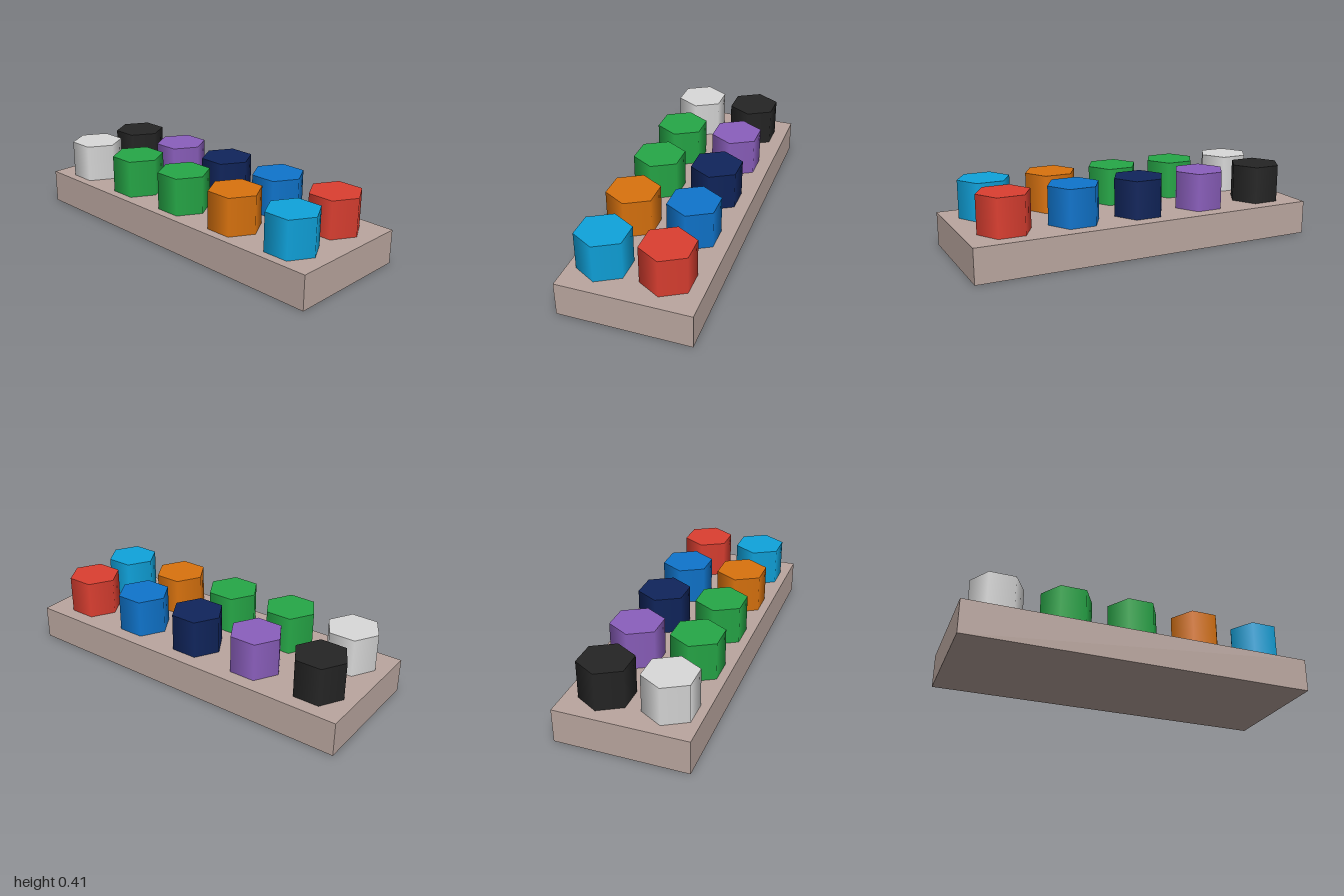
import * as THREE from 'three';

const mat = (name, color) => {
  const m = new THREE.MeshStandardMaterial({ color });
  m.name = name;
  return m;
};

export function createModel() {
  const model = new THREE.Group();
  model.name = 'pegTray';

  const colours = {
    taupe: mat('taupe', 0xbaa69f),
    cyan: mat('cyan', 0x0fa3dc),
    red: mat('red', 0xdc3f31),
    orange: mat('orange', 0xda730e),
    blue: mat('blue', 0x0f75cd),
    green: mat('green', 0x26a847),
    navy: mat('navy', 0x10255c),
    purple: mat('purple', 0x8b5fbd),
    lightGrey: mat('light grey', 0xd9d9d9),
    black: mat('black', 0x252525),
  };

  // Base slab
  const baseHeight = 0.192, topHeight = 0.406;
  const base = new THREE.Mesh(new THREE.BoxGeometry(0.728, baseHeight, 2), colours.taupe);
  base.name = 'base';
  base.position.y = baseHeight / 2;
  model.add(base);

  // Hexagonal pegs with smooth sides, points facing front and back; rows run front to back
  const rows = [
    ['cyan', 'red'],
    ['orange', 'blue'],
    ['green', 'navy'],
    ['green', 'purple'],
    ['lightGrey', 'black'],
  ];
  const columns = [-0.185, 0.157];
  const pegHeight = topHeight - baseHeight;
  const pegGeometry = new THREE.CylinderGeometry(0.148, 0.148, pegHeight, 6);
  rows.forEach((row, r) => row.forEach((colour, c) => {
    const peg = new THREE.Mesh(pegGeometry, colours[colour]);
    peg.name = `${colour}Peg${r + 1}`;
    peg.position.set(columns[c], baseHeight + pegHeight / 2, 0.773 - r * 0.3895);
    model.add(peg);
  }));

  return model;
}
